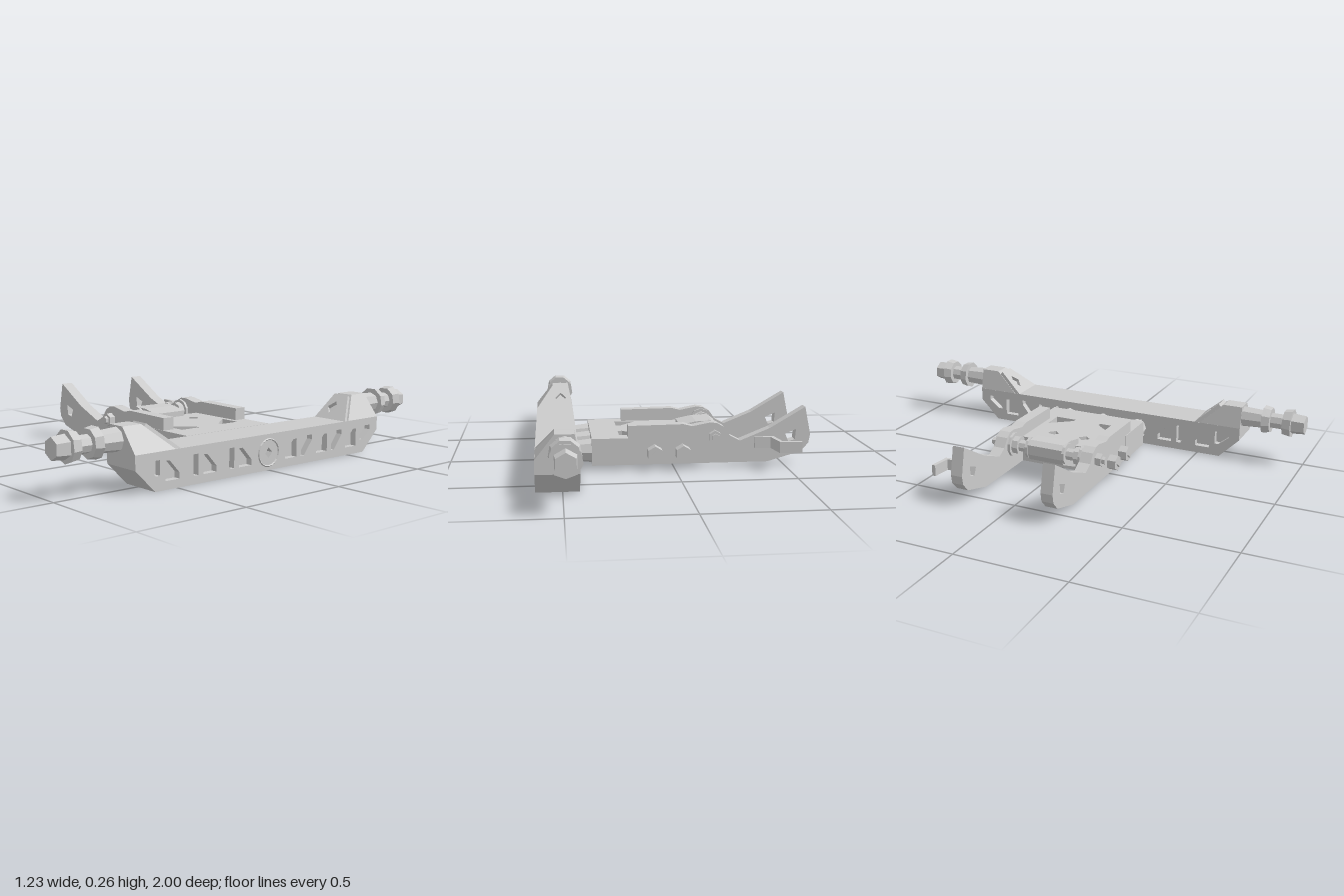
import * as THREE from 'three';
import { ConvexGeometry } from 'three/addons/geometries/ConvexGeometry.js';

const material = new THREE.MeshStandardMaterial({ color: 0xcccccc, flatShading: true });
const pts = (list) => list.map(([x, y]) => new THREE.Vector2(x, y));

export function createModel() {
  const model = new THREE.Group();

  const add = (name, geometry, x = 0, y = 0, z = 0, parent = model) => {
    const mesh = new THREE.Mesh(geometry, material);
    mesh.name = name;
    mesh.position.set(x, y, z);
    parent.add(mesh);
    return mesh;
  };
  // Flat profile with polygon holes
  const slab = (outline, holes, depth) => {
    const shape = new THREE.Shape(pts(outline));
    holes.forEach((h) => shape.holes.push(new THREE.Path(pts(h))));
    return new THREE.ExtrudeGeometry(shape, { depth, bevelEnabled: false });
  };
  const diamond = (x, y, rx, ry = rx) => [[x - rx, y], [x, y + ry], [x + rx, y], [x, y - ry]];
  // Faceted cylinder lying along z, r0 at the -z end
  const rodZ = (r0, r1, length, sides) =>
    new THREE.CylinderGeometry(r1, r0, length, sides).rotateX(Math.PI / 2);

  // Cross beam: solid core between two pocketed cheeks
  const beamOutline = [[-0.61, 0], [0.61, 0], [0.705, 0.095], [0.705, 0.155], [-0.705, 0.155], [-0.705, 0.095]];
  const pockets = [diamond(0, 0.075, 0.022)];
  for (const s of [-1, 1]) {
    for (let i = 0; i < 6; i++) {
      const c = s * (0.135 + i * 0.097);
      const bottom = i === 5 ? 0.06 : 0.035;
      const up = i % 2 === 1;
      pockets.push(up
        ? [[c + s * 0.035, 0.122], [c - s * 0.035, 0.122], [c - s * 0.035, bottom], [c - s * 0.015, bottom], [c + s * 0.035, 0.1]]
        : [[c + s * 0.035, 0.035], [c - s * 0.035, 0.035], [c - s * 0.035, 0.06], [c + s * 0.015, 0.115], [c + s * 0.035, 0.115]]);
    }
  }
  const beamLayer = (name, holes, x, depth) =>
    add(name, slab(beamOutline, holes, depth).rotateY(Math.PI / 2), x);
  beamLayer('beamInnerCheek', pockets, 0.43, 0.03);
  beamLayer('beamCore', [], 0.46, 0.12);
  beamLayer('beamOuterCheek', pockets, 0.58, 0.03);
  add('beamCentreRing', new THREE.TorusGeometry(0.058, 0.004, 4, 20).rotateY(Math.PI / 2), 0.61, 0.075, 0);

  // Raised beam ends and threaded axles, built at +z and turned for -z
  for (const s of [1, -1]) {
    const end = new THREE.Group();
    end.name = s > 0 ? 'leftAxleEnd' : 'rightAxleEnd';
    model.add(end);

    const corners = [];
    for (const [x, y, z] of [[0.45, 0.255, 0.615], [0.53, 0.255, 0.615], [0.45, 0.255, 0.705], [0.53, 0.255, 0.705],
      [0.43, 0.154, 0.505], [0.61, 0.154, 0.505], [0.43, 0.154, 0.705], [0.61, 0.154, 0.705]]) {
      corners.push(new THREE.Vector3(x, y, z * s));
    }
    add('raisedBlock', new ConvexGeometry(corners), 0, 0, 0, end);

    // Sloping panel with a diamond pocket
    const slope = Math.hypot(0.1, 0.11);
    const panel = slab([[-0.09, 0], [0.09, 0], [0.01, slope], [-0.07, slope]], [diamond(-0.03, 0.07, 0.028, 0.035)], 0.018);
    const run = new THREE.Vector3(0, 0.1, 0.11 * s).normalize();
    const inward = new THREE.Vector3(1, 0, 0).cross(run);
    const matrix = new THREE.Matrix4();
    if (s < 0) {
      matrix.makeBasis(new THREE.Vector3(1, 0, 0), run, inward);
      panel.translate(0, 0, -0.018);
    } else {
      matrix.makeBasis(new THREE.Vector3(1, 0, 0), run, inward);
    }
    panel.applyMatrix4(matrix);
    add('slopePanel', panel, 0.52, 0.155, 0.48 * s, end);

    // Shaft, two flanged nuts and end cap
    const axlePart = (name, z0, z1, ra, rb, sides) => add(name,
      s > 0 ? rodZ(ra, rb, z1 - z0, sides) : rodZ(rb, ra, z1 - z0, sides), 0.49, 0.2, s * (z0 + z1) / 2, end);
    axlePart('axleCollar', 0.7, 0.805, 0.05, 0.044, 8);
    axlePart('axleShaft', 0.8, 0.97, 0.037, 0.037, 8);
    axlePart('innerFlange', 0.803, 0.84, 0.067, 0.06, 9);
    axlePart('outerFlange', 0.9, 0.94, 0.06, 0.067, 9);
    axlePart('hexCap', 0.94, 1.0, 0.05, 0.045, 6);
  }

  // Base plate with lightening holes (drawn as x, -z)
  const plateHoles = [];
  for (const s of [-1, 1]) {
    plateHoles.push(diamond(0.03, s * 0.08, 0.028));
    plateHoles.push([[0.14, s * 0.165], [0.24, s * 0.165], [0.24, s * 0.065], [0.22, s * 0.065]]);
  }
  const plate = slab([[-0.075, -0.19], [0.14, -0.19], [0.14, -0.243], [0.365, -0.243],
    [0.365, 0.243], [0.14, 0.243], [0.14, 0.19], [-0.075, 0.19]], plateHoles, 0.12);
  add('basePlate', plate.rotateX(-Math.PI / 2), 0, 0.02, 0);

  // Pegs joining the plate to the beam
  for (const z of [-0.185, 0, 0.185]) {
    add('beamPeg', new THREE.CylinderGeometry(0.045, 0.055, 0.08, 8).rotateZ(-Math.PI / 2), 0.395, 0.078, z);
  }

  // Curved side arms
  const armOutline = [[-0.59, 0.265], [-0.615, 0.14], [-0.607, 0.1], [-0.57, 0.062], [-0.42, 0.02], [0.14, 0.02],
    [0.205, 0.1], [0.205, 0.195], [-0.04, 0.198], [-0.08, 0.188], [-0.16, 0.203], [-0.19, 0.2],
    [-0.222, 0.182], [-0.25, 0.142], [-0.295, 0.118], [-0.43, 0.172]];
  const armHole = [[-0.55, 0.165], [-0.5, 0.145], [-0.515, 0.11], [-0.545, 0.118]];
  for (const s of [1, -1]) {
    const arm = new THREE.Group();
    arm.name = s > 0 ? 'leftArm' : 'rightArm';
    model.add(arm);
    add('armPlate', slab(armOutline, [armHole], 0.055), 0, 0, s > 0 ? 0.185 : -0.243, arm);
    // Bolts through the arm
    const reach = s > 0 ? 0.28 : 0.3;
    for (const x of [-0.035, 0.09]) {
      add('armBolt', rodZ(0.036, 0.036, reach - 0.2, 6), x, 0.075, s * (reach + 0.2) / 2, arm);
      add('boltTip', rodZ(0.018, 0.018, 0.012, 4), x, 0.075, s * (reach + 0.003), arm);
    }
    add('pivotNut', rodZ(0.03, 0.03, 0.03, 6), -0.18, 0.14, s * 0.253, arm);
    add('pivotTip', rodZ(0.018, 0.018, 0.02, 6), -0.18, 0.14, s * 0.273, arm);
    // Washers and bushing beside the hinge
    add('pivotWasher', rodZ(0.055, 0.055, 0.012, 10), -0.18, 0.14, s * 0.175, arm);
    add('pivotBushing', rodZ(0.042, 0.042, 0.03, 8), -0.18, 0.14, s * 0.155, arm);
    add('hingeCheek', rodZ(0.048, 0.048, 0.012, 10), -0.18, 0.14, s * 0.092, arm);
  }

  // Pivot rod and central hinge
  add('pivotRod', rodZ(0.028, 0.028, 0.48, 8), -0.18, 0.14, 0);
  const hinge = slab([[-0.22, 0.12], [-0.2, 0.09], [-0.06, 0.03], [-0.045, 0.03], [-0.045, 0.165],
    [-0.12, 0.18], [-0.195, 0.183], [-0.22, 0.165]], [], 0.17);
  add('hingeBlock', hinge, 0, 0, -0.085);

  // Stepped bracket on the right arm (drawn as x, -z)
  const bracket = slab([[-0.36, 0.24], [-0.36, 0.257], [-0.43, 0.262], [-0.447, 0.375], [-0.545, 0.385],
    [-0.545, 0.368], [-0.462, 0.358], [-0.447, 0.24]], [], 0.05);
  add('steppedBracket', bracket.rotateX(-Math.PI / 2), 0, 0.085, 0);

  return model;
}
